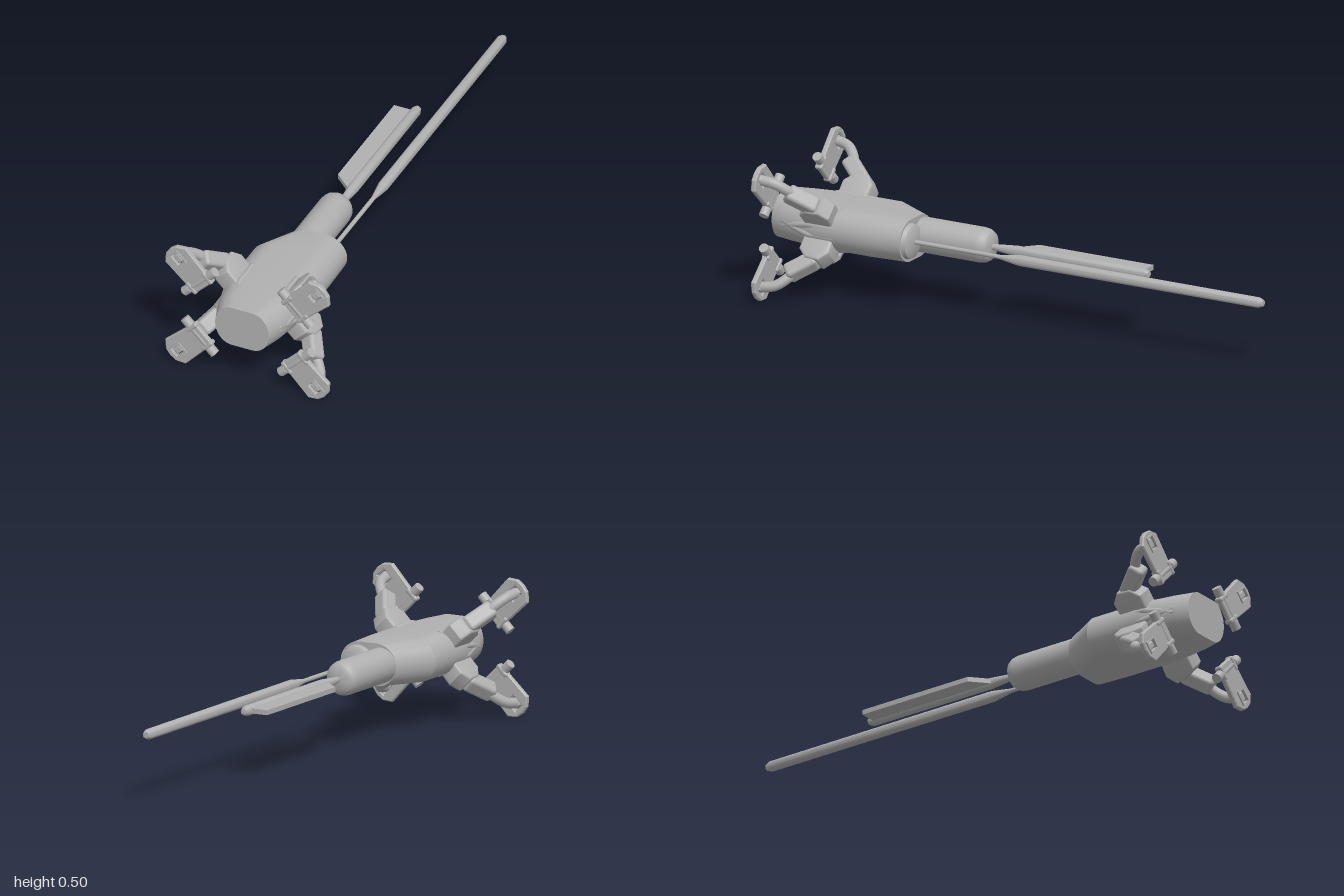
import * as THREE from 'three';
import { toCreasedNormals } from 'three/addons/utils/BufferGeometryUtils.js';
import { RoundedBoxGeometry } from 'three/addons/geometries/RoundedBoxGeometry.js';

const CY = 0.25; // height of the main axis
const metal = new THREE.MeshStandardMaterial({ color: 0xb0b0b0 });
metal.name = 'grey metal';

function add(parent, name, geometry, x = 0, y = 0, z = 0) {
  const m = new THREE.Mesh(geometry, metal);
  m.name = name;
  m.position.set(x, y, z);
  parent.add(m);
  return m;
}

// Closed skin through stadium-shaped sections: [z, left x, right x, end radius x, half height]
function loftBody(sections, n = 20) {
  const pos = [], idx = [], count = 2 * (n + 1);
  for (const [z, l, r, rx, h] of sections) {
    for (let side = 0; side < 2; side++) {
      for (let k = 0; k <= n; k++) {
        const a = -Math.PI / 2 + side * Math.PI + (k / n) * Math.PI;
        const cx = side ? l + rx : r - rx;
        pos.push(cx + rx * Math.cos(a), CY + h * Math.sin(a), z);
      }
    }
  }
  const last = (sections.length - 1) * count;
  for (let j = 0; j < count; j++) {
    const k = (j + 1) % count;
    for (let i = 0; i < last; i += count) {
      idx.push(i + j, i + k, i + count + j, i + k, i + count + k, i + count + j);
    }
    if (j > 0 && j < count - 1) idx.push(0, j + 1, j, last, last + j, last + j + 1);
  }
  const g = new THREE.BufferGeometry();
  g.setAttribute('position', new THREE.Float32BufferAttribute(pos, 3));
  g.setIndex(idx);
  return toCreasedNormals(g, 0.4);
}

// Turned part along z from [radius, z] points
function turned(points, seg = 24) {
  const g = new THREE.LatheGeometry(points.map(([r, z]) => new THREE.Vector2(r, z)), seg);
  return toCreasedNormals(g.rotateX(Math.PI / 2), 0.6);
}

// Side profile in (radial, z), given a width across
function profile(points, width, bevel) {
  const s = new THREE.Shape(points.map(p => new THREE.Vector2(...p)));
  const g = new THREE.ExtrudeGeometry(s, {
    depth: width - 2 * bevel, bevelSize: bevel, bevelThickness: bevel,
    bevelOffset: -bevel, bevelSegments: 3,
  });
  g.translate(0, 0, -width / 2 + bevel);
  return toCreasedNormals(g.rotateX(Math.PI / 2), 0.6);
}

function footGeometry() {
  const s = new THREE.Shape([
    [0.14, -0.05], [0.297, -0.057], [0.322, -0.028], [0.327, 0], [0.322, 0.028],
    [0.297, 0.057], [0.14, 0.05],
  ].map(p => new THREE.Vector2(...p)));
  s.holes.push(new THREE.Path([
    [0.258, -0.018], [0.258, 0.018], [0.304, 0.018], [0.304, -0.018],
  ].map(p => new THREE.Vector2(...p))));
  const g = new THREE.ExtrudeGeometry(s, {
    depth: 0.012, bevelSize: 0.004, bevelThickness: 0.004, bevelOffset: -0.004, bevelSegments: 1,
  });
  return g;
}

// One leg; local x points outward from the body, y runs across it
function makeLeg() {
  const leg = new THREE.Group();
  add(leg, 'legRoot', profile(
    [[0, 0.72], [0.075, 0.72], [0.075, 0.83], [0.055, 0.9], [0.035, 0.95], [0, 0.95]], 0.1, 0.012));
  add(leg, 'upperArm', profile(
    [[0.04, 0.73], [0.12, 0.725], [0.155, 0.755], [0.152, 0.81], [0.12, 0.845], [0.04, 0.845]], 0.076, 0.01));

  // Thick link and curved hook reaching the foot
  const link = add(leg, 'armLink', new RoundedBoxGeometry(0.12, 0.062, 0.06, 3, 0.014), 0.175, 0, 0.825);
  link.rotation.y = -0.85;
  const hook = new THREE.CatmullRomCurve3([
    [0.19, 0, 0.84], [0.235, 0, 0.865], [0.268, 0, 0.9], [0.281, 0, 0.953],
  ].map(p => new THREE.Vector3(...p)));
  add(leg, 'hook', new THREE.TubeGeometry(hook, 14, 0.019, 12));

  // Foot plate with framed socket
  add(leg, 'footPlate', footGeometry(), 0, 0, 0.945);
  add(leg, 'socketTip', new RoundedBoxGeometry(0.036, 0.026, 0.022, 2, 0.006), 0.281, 0, 0.95);
  for (const s of [-1, 1]) {
    add(leg, 'socketSide', new THREE.BoxGeometry(0.056, 0.006, 0.022), 0.281, s * 0.02, 0.955);
    add(leg, 'socketEnd', new THREE.BoxGeometry(0.006, 0.04, 0.022), 0.281 + s * 0.025, 0, 0.955);
    // Hinge knobs and lugs
    add(leg, 'hingeKnob', new THREE.CylinderGeometry(0.018, 0.018, 0.032, 16), 0.167, s * 0.068, 0.95);
    add(leg, 'hingeLug', new RoundedBoxGeometry(0.055, 0.018, 0.03, 2, 0.007), 0.165, s * 0.043, 0.95);
  }
  add(leg, 'hingePin', new THREE.CylinderGeometry(0.012, 0.012, 0.13, 14), 0.167, 0, 0.952);
  return leg;
}

export function createModel() {
  const model = new THREE.Group();
  model.name = 'grappler';

  // Main housing
  add(model, 'body', loftBody([
    [0.45, -0.077, 0.152, 0.08, 0.077],
    [0.59, -0.156, 0.155, 0.08, 0.08],
    [0.8, -0.156, 0.155, 0.08, 0.08],
    [0.93, -0.13, 0.13, 0.075, 0.08],
    [1.0, -0.105, 0.105, 0.065, 0.08],
  ]));
  add(model, 'rearDome', turned([[0, 0.425], [0.045, 0.427], [0.06, 0.435], [0.066, 0.452], [0, 0.5]]), 0.08, CY);

  // Rear barrel and its finned rod
  add(model, 'rearBarrel', turned(
    [[0, 0.16], [0.035, 0.162], [0.052, 0.17], [0.061, 0.185], [0.064, 0.205], [0.064, 0.5], [0, 0.5]]), -0.013, CY);
  add(model, 'shortRod', turned(
    [[0, -0.482], [0.012, -0.478], [0.019, -0.46], [0.02, 0.06], [0.01, 0.17], [0, 0.17]], 16), -0.01, CY);
  const finShape = new THREE.Shape([
    [-0.01, -0.45], [-0.09, -0.45], [-0.09, 0.015], [-0.028, 0.07], [-0.01, 0.07],
  ].map(p => new THREE.Vector2(...p)));
  const fin = new THREE.ExtrudeGeometry(finShape, { depth: 0.018, bevelEnabled: false });
  fin.translate(0, 0, -0.009).rotateX(Math.PI / 2);
  add(model, 'fin', fin, 0, CY);

  // Long rod with slim neck
  add(model, 'longRod', turned(
    [[0, -1], [0.012, -0.997], [0.019, -0.98], [0.02, 0], [0.008, 0.08], [0.008, 0.45], [0, 0.45]], 16), 0.08, CY);

  // Four legs on the diagonals
  for (let i = 0; i < 4; i++) {
    const leg = makeLeg();
    const a = Math.PI / 4 + i * Math.PI / 2;
    leg.name = 'leg' + (i + 1);
    leg.position.set(0.07 * Math.sign(Math.cos(a)), CY, 0);
    leg.rotation.z = a;
    model.add(leg);
  }
  return model;
}
